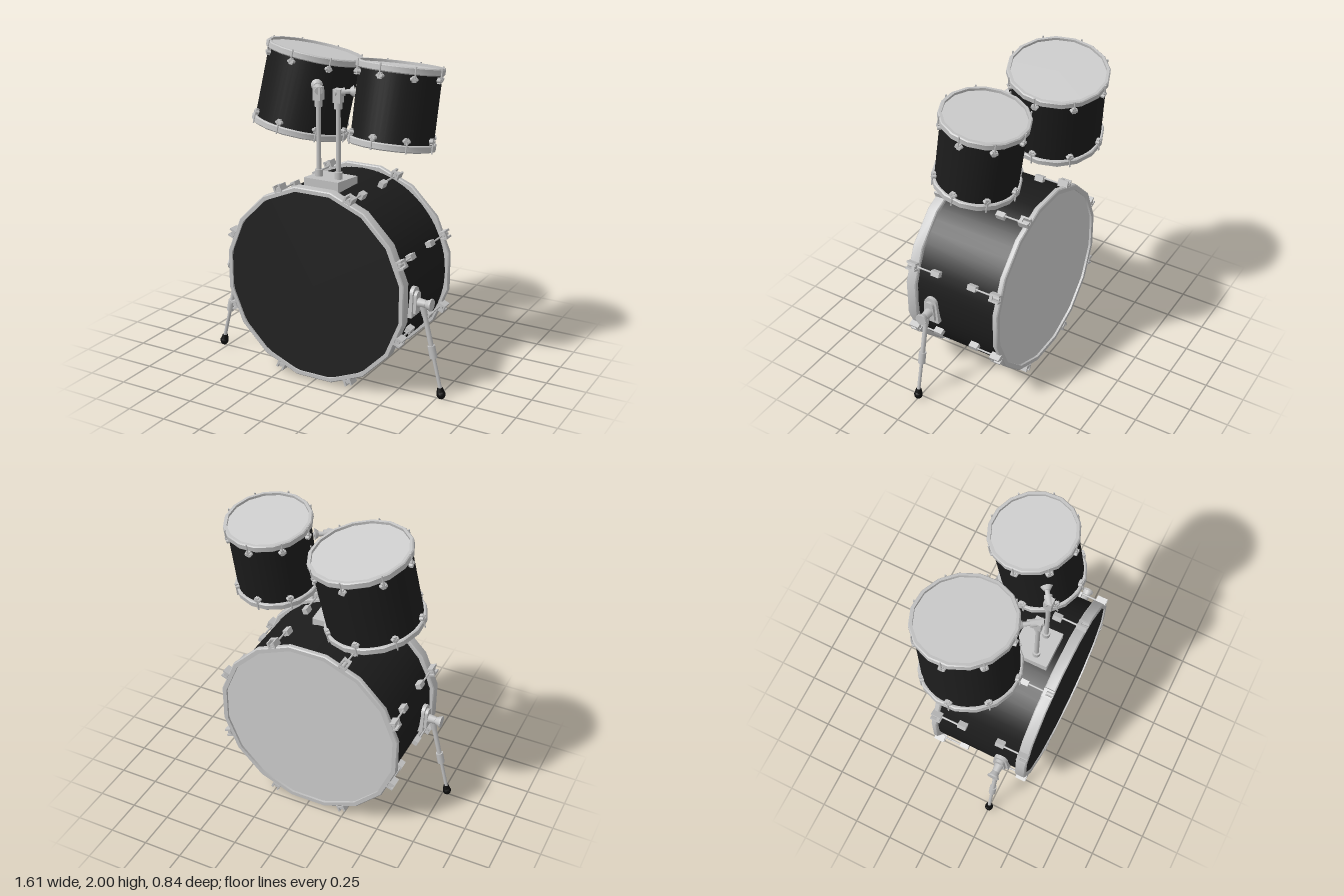
import * as THREE from 'three';
import { toCreasedNormals } from 'three/addons/utils/BufferGeometryUtils.js';

const mat = (name, color) => {
  const m = new THREE.MeshStandardMaterial({ color });
  m.name = name;
  return m;
};
const shellBlack = mat('shellBlack', 0x1c1c1c);
const headBlack = mat('headBlack', 0x222222);
const headGrey = mat('headGrey', 0xcccccc);
const chrome = mat('chrome', 0xc2c2c2);
const rubber = mat('rubber', 0x0c0c0c);

const V = (x, y, z) => new THREE.Vector3(x, y, z);

function add(parent, name, geometry, material, x = 0, y = 0, z = 0) {
  const mesh = new THREE.Mesh(geometry, material);
  mesh.name = name;
  mesh.position.set(x, y, z);
  parent.add(mesh);
  return mesh;
}

// Round bar between two points, r0 at the start and r1 at the end
function bar(parent, name, a, b, r0, r1 = r0, material = chrome, sides = 12) {
  const dir = b.clone().sub(a);
  const mesh = add(parent, name, new THREE.CylinderGeometry(r1, r0, dir.length(), sides), material);
  mesh.position.copy(a).addScaledVector(dir, 0.5);
  mesh.quaternion.setFromUnitVectors(V(0, 1, 0), dir.normalize());
}

// Sixteen-sided ring around y with a flat side facing +z; radii are across flats
function hoop(parent, name, outer, inner, y0, y1) {
  const k = 1 / Math.cos(Math.PI / 16);
  const lip = 0.006;
  const profile = [
    [inner, y0], [outer - lip, y0], [outer, y0 + lip], [outer, y1 - lip],
    [outer - lip, y1], [inner, y1], [inner, y0],
  ].map(([r, y]) => new THREE.Vector2(r * k, y));
  const geo = toCreasedNormals(new THREE.LatheGeometry(profile, 16, Math.PI / 16), 0.5);
  add(parent, name, geo, chrome);
}

// Flat drum skin facing up or down
function head(parent, name, r, y, up, material) {
  const mesh = add(parent, name, new THREE.CircleGeometry(r, 48), material, 0, y, 0);
  mesh.rotation.x = up ? -Math.PI / 2 : Math.PI / 2;
}

function shell(parent, r, y0, y1) {
  const geo = new THREE.CylinderGeometry(r, r, y1 - y0, 48, 1, true);
  add(parent, 'shell', geo, shellBlack, 0, (y0 + y1) / 2, 0);
}

// Eight copies around y, each built facing +z
function around(parent, name, start, build) {
  for (let i = 0; i < 8; i++) {
    const g = new THREE.Group();
    g.name = name;
    g.rotation.y = start + (i * Math.PI) / 4;
    build(g);
    parent.add(g);
  }
}

function makeTom(name, r, length, lugTurn) {
  const tom = new THREE.Group();
  tom.name = name;
  const h = length / 2, s = r - 0.014;
  shell(tom, s, -h + 0.02, h - 0.02);
  hoop(tom, 'topHoop', r, r - 0.022, h - 0.042, h);
  hoop(tom, 'bottomHoop', r, r - 0.022, -h, -h + 0.042);
  head(tom, 'topHead', r - 0.016, h - 0.016, true, headGrey);
  head(tom, 'bottomHead', r - 0.016, -h + 0.016, false, headGrey);
  around(tom, 'tensionLug', lugTurn, (g) => {
    for (const e of [-1, 1]) {
      const y = e * (h - 0.066);
      add(g, 'lug', new THREE.BoxGeometry(0.022, 0.036, 0.024), chrome, 0, y, s + 0.006);
      for (const x of [-0.012, 0.012])
        bar(g, 'lugCap', V(x, y, s), V(x, y, s + 0.022), 0.012, 0.009, chrome, 8);
      bar(g, 'tensionRod', V(0, y, r + 0.003), V(0, e * (h + 0.006), r + 0.003), 0.005, 0.005, chrome, 6);
    }
  });
  return tom;
}

function makeBass() {
  const bass = new THREE.Group();
  bass.name = 'bassDrum';
  shell(bass, 0.58, -0.21, 0.4);
  hoop(bass, 'frontHoop', 0.602, 0.574, 0.352, 0.42);
  hoop(bass, 'rearHoop', 0.602, 0.57, -0.228, -0.193);
  head(bass, 'frontHead', 0.582, 0.41, true, headBlack);
  head(bass, 'rearHead', 0.58, -0.214, false, headGrey);
  around(bass, 'bassTension', Math.PI / 8, (g) => {
    for (const [lugY, clawY, e] of [[0.228, 0.388, 1], [-0.03, -0.198, -1]]) {
      add(g, 'lug', new THREE.BoxGeometry(0.034, 0.057, 0.04), chrome, 0, lugY, 0.596);
      bar(g, 'tensionRod', V(0, lugY, 0.606), V(0, clawY, 0.606), 0.006, 0.006, chrome, 8);
      // Claw hooked over the hoop: two cheeks, a bridge and the rod socket
      for (const x of [-0.02, 0.02])
        add(g, 'clawCheek', new THREE.BoxGeometry(0.012, 0.066, 0.045), chrome, x, clawY, 0.617);
      add(g, 'clawBridge', new THREE.BoxGeometry(0.052, 0.05, 0.012), chrome, 0, clawY + e * 0.008, 0.605);
      add(g, 'clawTop', new THREE.BoxGeometry(0.04, 0.02, 0.01), chrome, 0, clawY - e * 0.02, 0.634);
      bar(g, 'rodSocket', V(0, clawY - e * 0.03, 0.616), V(0, clawY + e * 0.03, 0.616), 0.012, 0.012, chrome, 8);
    }
  });
  bass.rotation.x = Math.PI / 2;
  bass.position.y = 0.62;
  return bass;
}

// Folding support leg, side = 1 for +x and -1 for -x
function makeSpur(side) {
  const spur = new THREE.Group();
  spur.name = side > 0 ? 'leftSpur' : 'rightSpur';
  const z = 0.25;
  const P = (x, y) => V(side * x, y, z);
  // Arched base plate on the shell
  const plate = (w, y0, y1, depth) => {
    const s = new THREE.Shape();
    s.moveTo(-w, y0);
    s.lineTo(w, y0);
    s.lineTo(w * 0.8, y1 - w * 0.8);
    s.absarc(0, y1 - w * 0.8, w * 0.8, 0, Math.PI, false);
    s.closePath();
    return new THREE.ExtrudeGeometry(s, { depth, bevelEnabled: false, curveSegments: 8 });
  };
  const base = add(spur, 'basePlate', plate(0.055, 0.5, 0.68, 0.05), chrome, side * 0.55, 0, z);
  const boss = add(spur, 'plateBoss', plate(0.038, 0.525, 0.655, 0.018), chrome, side * 0.6, 0, z);
  base.rotation.y = boss.rotation.y = (side * Math.PI) / 2;
  // Pivot and flared knob
  bar(spur, 'pivot', P(0.61, 0.585), P(0.665, 0.585), 0.03, 0.024);
  bar(spur, 'knob', P(0.655, 0.585), P(0.695, 0.585), 0.018, 0.034);
  bar(spur, 'knobCap', P(0.695, 0.585), P(0.705, 0.585), 0.038);
  // Leg, clamp and foot
  bar(spur, 'legTop', P(0.642, 0.585), P(0.66, 0.51), 0.022, 0.018);
  bar(spur, 'legTube', P(0.645, 0.57), P(0.715, 0.29), 0.015);
  bar(spur, 'legClamp', P(0.705, 0.33), P(0.723, 0.255), 0.023);
  bar(spur, 'legRod', P(0.715, 0.29), P(0.775, 0.05), 0.011);
  bar(spur, 'footCollar', P(0.769, 0.072), P(0.773, 0.045), 0.017, 0.024, rubber);
  const foot = add(spur, 'rubberFoot', new THREE.SphereGeometry(0.027, 12, 8), rubber, side * 0.777, 0.031, z);
  foot.scale.y = 1.1;
  return spur;
}

// Upright post with an arm reaching the tom at the point "end"
function makePost(name, x, end) {
  const post = new THREE.Group();
  post.name = name;
  const z = 0.225;
  bar(post, 'postCollar', V(x, 1.23, z), V(x, 1.29, z), 0.024);
  bar(post, 'postTube', V(x, 1.28, z), V(x, 1.7, z), 0.014);
  bar(post, 'postClamp', V(x, 1.67, z), V(x, 1.76, z), 0.024);
  add(post, 'holder', new THREE.BoxGeometry(0.05, 0.08, 0.05), chrome, x, 1.748, z);
  const start = V(x, 1.768, z);
  const at = (t) => start.clone().lerp(end, t);
  bar(post, 'arm', at(-0.25), at(0.45), 0.024);
  bar(post, 'armRod', at(0.4), at(1.15), 0.014);
  bar(post, 'armFlange', at(0.8), at(1.05), 0.02, 0.036);
  return post;
}

export function createModel() {
  const kit = new THREE.Group();
  kit.name = 'drumKit';
  kit.add(makeBass(), makeSpur(1), makeSpur(-1));

  // Mount plate with a gently sloping top
  const side = new THREE.Shape([[-0.315, 1.19], [-0.08, 1.19], [-0.08, 1.235], [-0.315, 1.255]]
    .map(([a, b]) => new THREE.Vector2(a, b)));
  const mount = new THREE.ExtrudeGeometry(side, { depth: 0.232, bevelEnabled: false });
  add(kit, 'mountPlate', mount, chrome, -0.116, 0, 0).rotation.y = Math.PI / 2;

  kit.add(makePost('rightPost', -0.065, V(-0.128, 1.772, 0.135)));
  kit.add(makePost('leftPost', 0.068, V(0.14, 1.772, 0.175)));

  const large = makeTom('largeTom', 0.298, 0.505, 0.06);
  large.position.set(-0.321, 1.689, -0.082);
  large.rotation.set(-0.133, 0, -0.163);
  const small = makeTom('smallTom', 0.258, 0.482, 0);
  small.position.set(0.343, 1.685, 0.028);
  small.rotation.set(-0.168, 0, -0.035);
  kit.add(large, small);
  return kit;
}
